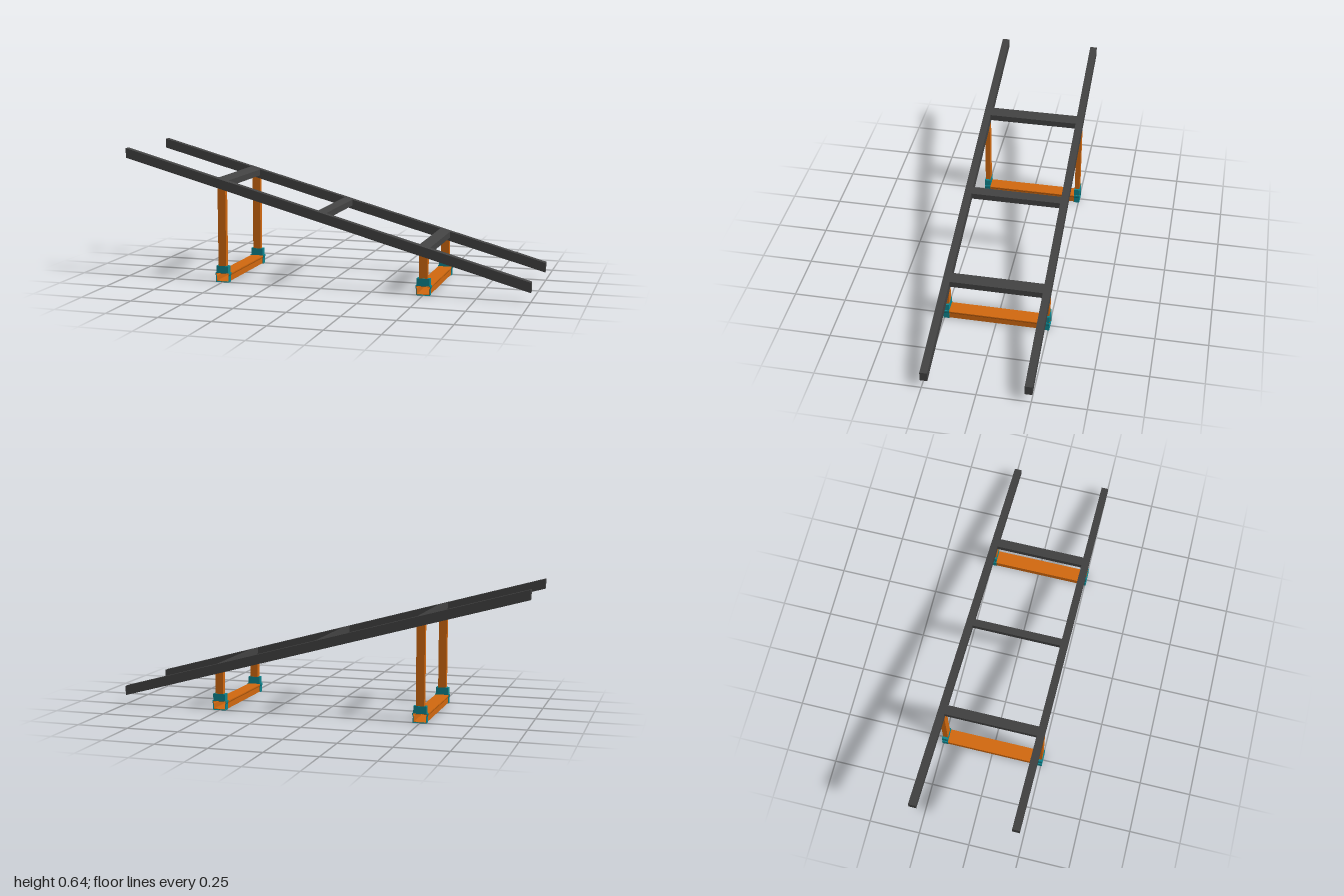
import * as THREE from 'three';

const SLOPE = -0.274;
const railTop = (x) => 0.366 + SLOPE * x;

export function createModel() {
  const model = new THREE.Group();
  model.name = 'slopedLadderFrame';
  const charcoal = new THREE.MeshStandardMaterial({ color: 0x424242 });
  charcoal.name = 'charcoal';
  const orange = new THREE.MeshStandardMaterial({ color: 0xd2690f });
  orange.name = 'orange';
  const teal = new THREE.MeshStandardMaterial({ color: 0x0e858f });
  teal.name = 'teal';

  function add(name, geometry, material, x, y, z) {
    const mesh = new THREE.Mesh(geometry, material);
    mesh.name = name;
    mesh.position.set(x, y, z);
    model.add(mesh);
    return mesh;
  }

  // Box whose top and bottom follow the slope while its ends stay vertical
  function slopedBox(w, h, d) {
    const geometry = new THREE.BoxGeometry(w, h, d);
    const p = geometry.attributes.position;
    for (let i = 0; i < p.count; i++) p.setY(i, p.getY(i) + SLOPE * p.getX(i));
    geometry.computeVertexNormals();
    return geometry;
  }

  // Hollow thin-walled profile, flared near the top, running along z
  function flaredTube(halfW, flare, y0, y1, y2, y3, wall, length) {
    const outline = (t) => [
      [-halfW + t, y0 + t], [halfW - t, y0 + t], [halfW - t, y1],
      [halfW + flare - t, y2], [halfW + flare - t, y3 - t],
      [-halfW - flare + t, y3 - t], [-halfW - flare + t, y2], [-halfW + t, y1],
    ].map(([x, y]) => new THREE.Vector2(x, y));
    const shape = new THREE.Shape(outline(0));
    shape.holes.push(new THREE.Path(outline(wall)));
    const geometry = new THREE.ExtrudeGeometry(shape, { depth: length, bevelEnabled: false });
    geometry.translate(0, 0, -length / 2);
    return geometry;
  }

  // Side rails
  for (const s of [1, -1]) {
    add(s > 0 ? 'frontRail' : 'backRail', slopedBox(2, 0.047, 0.035), charcoal,
      0, railTop(0) - 0.0235, s * 0.2375);
  }

  // Rungs between the rails
  for (const [x, w] of [[-0.5, 0.05], [0, 0.04], [0.5, 0.05]]) {
    add('rung', slopedBox(w, 0.03, 0.44), charcoal, x, railTop(x) - 0.015, 0);
  }

  // Two supports: a hollow foot bar, corner sleeves and upright legs
  for (const x of [-0.5, 0.5]) {
    add('footBar', flaredTube(0.031, 0.003, 0.003, 0.03, 0.037, 0.042, 0.002, 0.5), orange, x, 0, 0);
    const legTop = railTop(x) - 0.025;
    for (const s of [1, -1]) {
      add('footSleeve', flaredTube(0.033, 0.003, 0, 0.03, 0.037, 0.046, 0.002, 0.029), teal, x, 0, s * 0.2405);
      add('legSocket', new THREE.BoxGeometry(0.062, 0.035, 0.029), teal, x, 0.0625, s * 0.2405);
      add('leg', new THREE.BoxGeometry(0.04, legTop - 0.06, 0.025), orange, x, (legTop + 0.06) / 2, s * 0.2395);
    }
  }
  return model;
}
